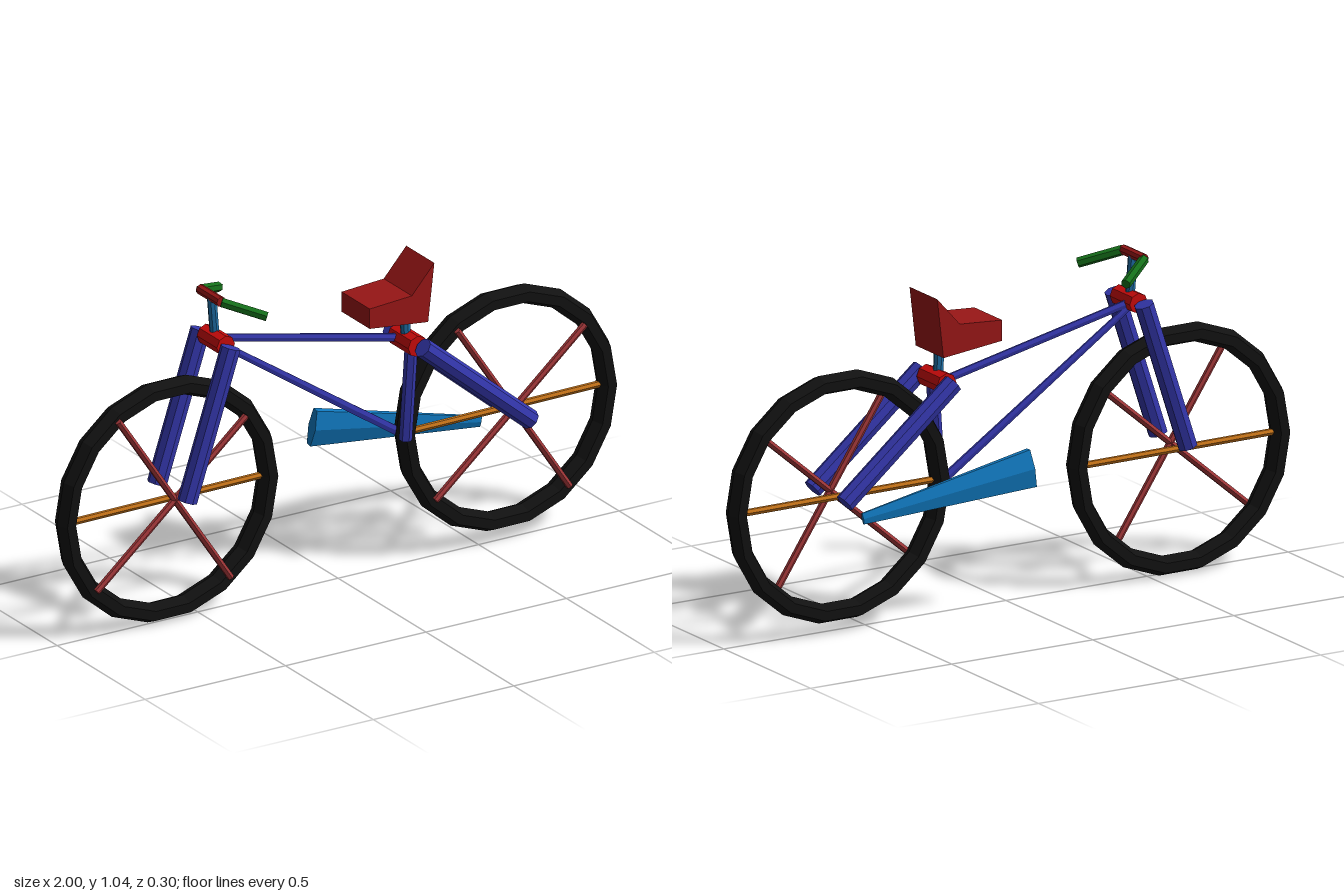
import * as THREE from 'three';

const paint = (color) => {
  const m = new THREE.MeshStandardMaterial({ flatShading: true });
  m.color.set(color);
  return m;
};
const black = paint(0x111111), blue = paint(0x3336aa), red = paint(0x981616), jointRed = paint(0xc80a0a);
const spokeRed = paint(0xa03638), orange = paint(0xc07018), green = paint(0x15701a), steel = paint(0x1f70a8), sky = paint(0x1078be);

// Tapered rod between two points; depth squashes it sideways
function rod(name, a, b, r0, r1, material, sides = 8, depth = 1) {
  const start = new THREE.Vector3(...a), end = new THREE.Vector3(...b);
  const dir = end.clone().sub(start);
  const mesh = new THREE.Mesh(new THREE.CylinderGeometry(r1, r0, dir.length(), sides), material);
  mesh.name = name;
  mesh.scale.z = depth;
  mesh.quaternion.setFromUnitVectors(new THREE.Vector3(0, 1, 0), dir.normalize());
  mesh.position.copy(start.add(end).multiplyScalar(0.5));
  return mesh;
}

// Tyre with one level spoke and two crossed spokes
function wheel(name, x, y) {
  const g = new THREE.Group();
  g.name = name;
  const tyre = new THREE.Mesh(new THREE.TorusGeometry(0.364, 0.031, 6, 18), black);
  tyre.name = 'tyre';
  tyre.scale.z = 1.3;
  g.add(tyre);
  g.add(rod('levelSpoke', [-0.365, 0, 0], [0.35, 0, 0], 0.011, 0.011, orange, 6));
  g.add(rod('crossSpoke', [-0.2, 0.31, 0.04], [0.205, -0.29, 0.04], 0.011, 0.011, spokeRed, 6));
  g.add(rod('crossSpoke', [-0.278, -0.228, 0.04], [0.26, 0.226, 0.04], 0.011, 0.011, spokeRed, 6));
  g.position.set(x, y, -0.012);
  g.rotation.y = 0.018;
  return g;
}

export function createModel() {
  const model = new THREE.Group();
  model.name = 'bicycle';
  model.add(wheel('frontWheel', -0.603, 0.395), wheel('rearWheel', 0.603, 0.428));

  // Fork blades and rear stays, one on each side
  for (const z of [0.092, -0.08]) {
    model.add(rod('forkBlade', [-0.595, 0.42, z], [-0.44, 0.89, z], 0.031, 0.031, blue));
  }
  for (const z of [0.106, -0.078]) {
    model.add(rod('rearStay', [0.62, 0.425, z], [0.235, 0.745, z], 0.031, 0.031, blue));
  }

  // Frame tubes
  model.add(rod('topTube', [-0.42, 0.88, -0.015], [0.24, 0.735, -0.015], 0.014, 0.014, blue, 6, 0.5));
  model.add(rod('downTube', [-0.43, 0.87, -0.015], [0.225, 0.43, -0.015], 0.012, 0.016, blue, 6, 0.5));
  model.add(rod('seatTube', [0.215, 0.425, 0.04], [0.237, 0.75, 0.04], 0.02, 0.02, blue, 6));

  // Joints across the frame
  model.add(rod('headJoint', [-0.44, 0.885, -0.05], [-0.44, 0.885, 0.065], 0.032, 0.032, jointRed));
  model.add(rod('seatJoint', [0.24, 0.735, -0.05], [0.24, 0.735, 0.07], 0.034, 0.034, jointRed));

  // Stem, handlebar and grips
  model.add(rod('stem', [-0.438, 0.88, 0], [-0.45, 1.025, 0], 0.015, 0.015, steel));
  model.add(rod('handlebar', [-0.45, 1.027, -0.065], [-0.45, 1.027, 0.055], 0.016, 0.016, red));
  for (const s of [1, -1]) {
    model.add(rod('grip', [-0.45, 1.026, s * 0.06 - 0.004], [-0.338, 0.983, s * 0.138 - 0.003], 0.016, 0.016, green, 6));
  }

  // Seat post and saddle with a raised back
  model.add(rod('seatPost', [0.235, 0.74, 0.01], [0.228, 0.88, 0.01], 0.016, 0.016, steel));
  const side = new THREE.Shape([[0.05, 0.845], [0.258, 0.822], [0.28, 1.01], [0.2, 0.92], [0.05, 0.91]]
    .map(([x, y]) => new THREE.Vector2(x, y)));
  const saddle = new THREE.Mesh(new THREE.ExtrudeGeometry(side, { depth: 0.16, bevelEnabled: false }), red);
  saddle.name = 'saddle';
  saddle.position.z = -0.06;
  model.add(saddle);

  // Tapered guard along the rear side
  model.add(rod('chainGuard', [-0.01, 0.455, -0.133], [0.558, 0.368, -0.082], 0.068, 0.02, sky, 6, 0.35));
  return model;
}
